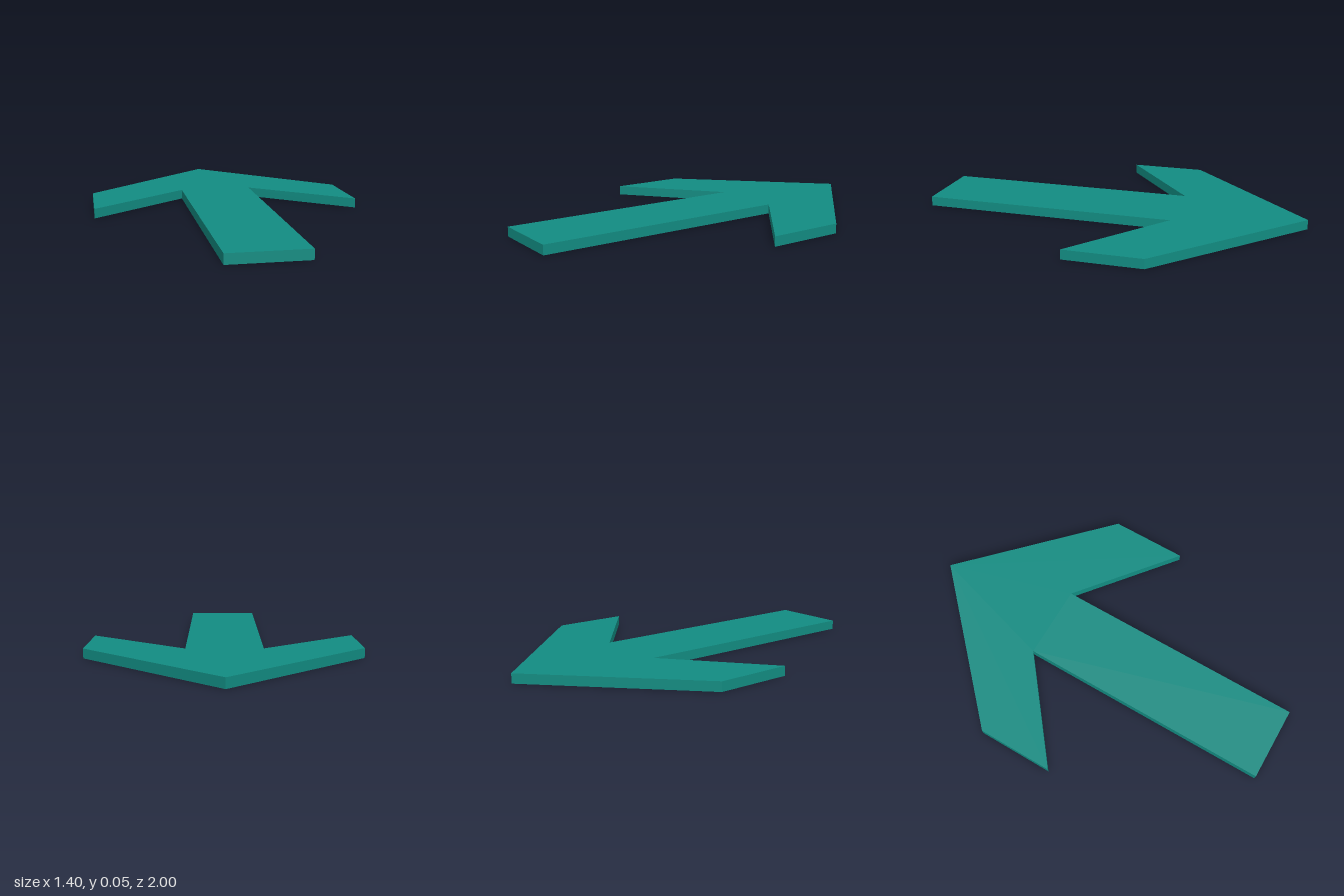
import * as THREE from 'three';

export function createModel() {
  const group = new THREE.Group();
  group.name = 'arrow';

  // Arrow outline, drawn counter-clockwise with the tip towards +y
  const outline = [
    [0, 1], [-0.7, 0.325], [-0.7, -0.075], [-0.197, 0.33],
    [-0.197, -1], [0.193, -1], [0.193, 0.33], [0.7, -0.075], [0.7, 0.325],
  ];
  const shape = new THREE.Shape(outline.map(([x, y]) => new THREE.Vector2(x, y)));

  // Flat plate lying on the ground, tip pointing to the back (-z)
  const geometry = new THREE.ExtrudeGeometry(shape, { depth: 0.05, bevelEnabled: false });
  geometry.rotateX(-Math.PI / 2);

  const material = new THREE.MeshStandardMaterial({ color: 0x128c82 });
  const arrow = new THREE.Mesh(geometry, material);
  arrow.name = 'arrowPlate';
  group.add(arrow);
  return group;
}
